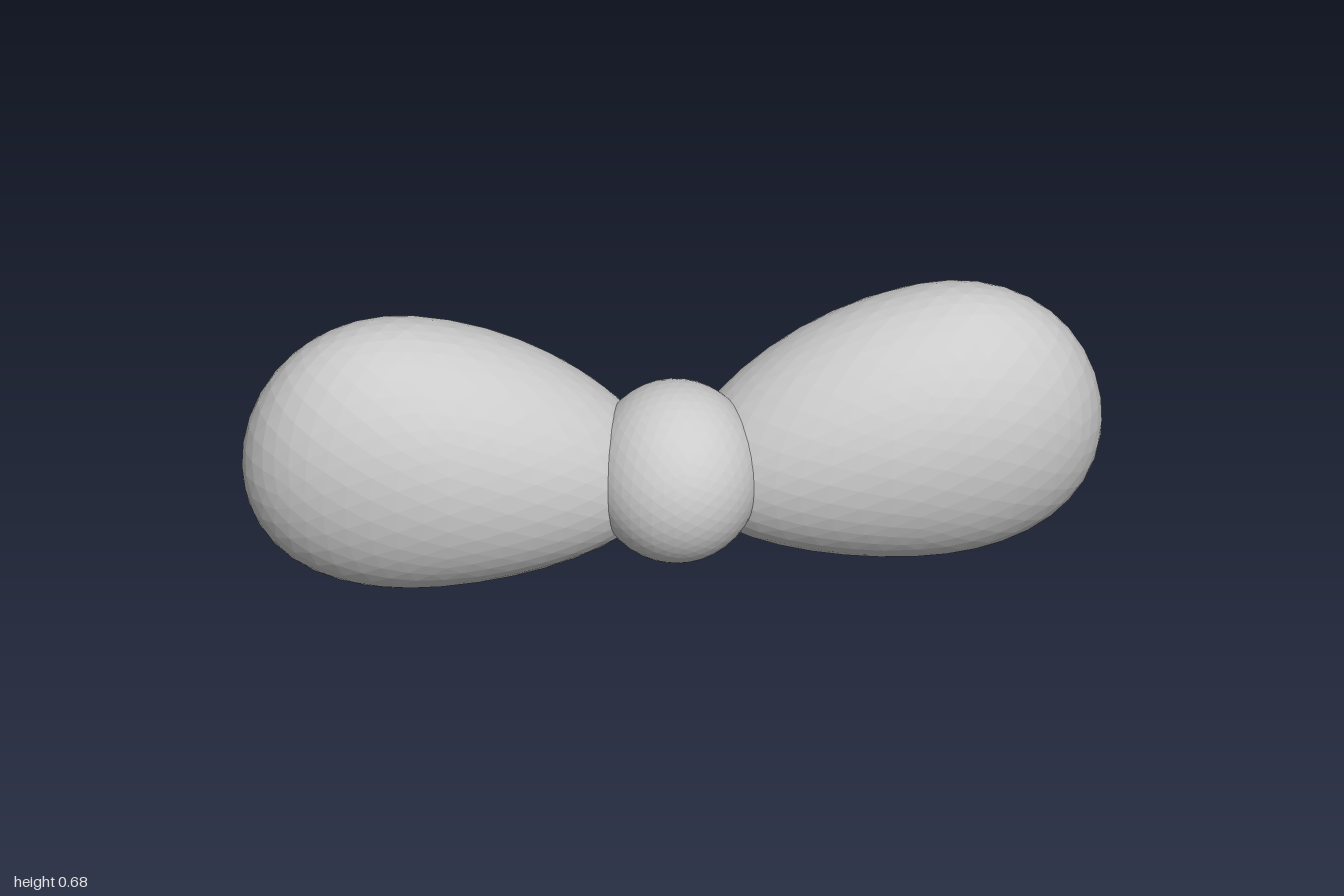
import * as THREE from 'three';

const material = new THREE.MeshStandardMaterial({ color: 0xcccccc, flatShading: true });

// Tapered egg-shaped loop; side is +1 (left) or -1 (right)
function makeLobe(side) {
  const geo = new THREE.IcosahedronGeometry(1, 7);
  const pos = geo.attributes.position;
  for (let i = 0; i < pos.count; i++) {
    const u = side * pos.getX(i); // -1 at the knot, +1 at the outer end
    const taper = 0.98 + 0.2 * u;
    pos.setXYZ(
      i,
      side * (0.55 + u * (u > 0 ? 0.45 : 0.53)),
      0.335 + 0.045 * u - 0.05 * u * u + 0.338 * taper * pos.getY(i),
      -0.0125 + 0.265 * pos.getZ(i)
    );
  }
  geo.computeVertexNormals();
  return new THREE.Mesh(geo, material);
}

export function createModel() {
  const bow = new THREE.Group();
  bow.name = 'bow';

  // Two mirrored loops
  for (const side of [1, -1]) {
    const lobe = makeLobe(side);
    lobe.name = side > 0 ? 'leftLoop' : 'rightLoop';
    bow.add(lobe);
  }

  // Central knot, set slightly forward
  const knotGeo = new THREE.IcosahedronGeometry(1, 7);
  knotGeo.scale(0.198, 0.215, 0.213);
  knotGeo.translate(0, 0.29, 0.062);
  knotGeo.computeVertexNormals();
  const knot = new THREE.Mesh(knotGeo, material);
  knot.name = 'knot';
  bow.add(knot);

  return bow;
}
